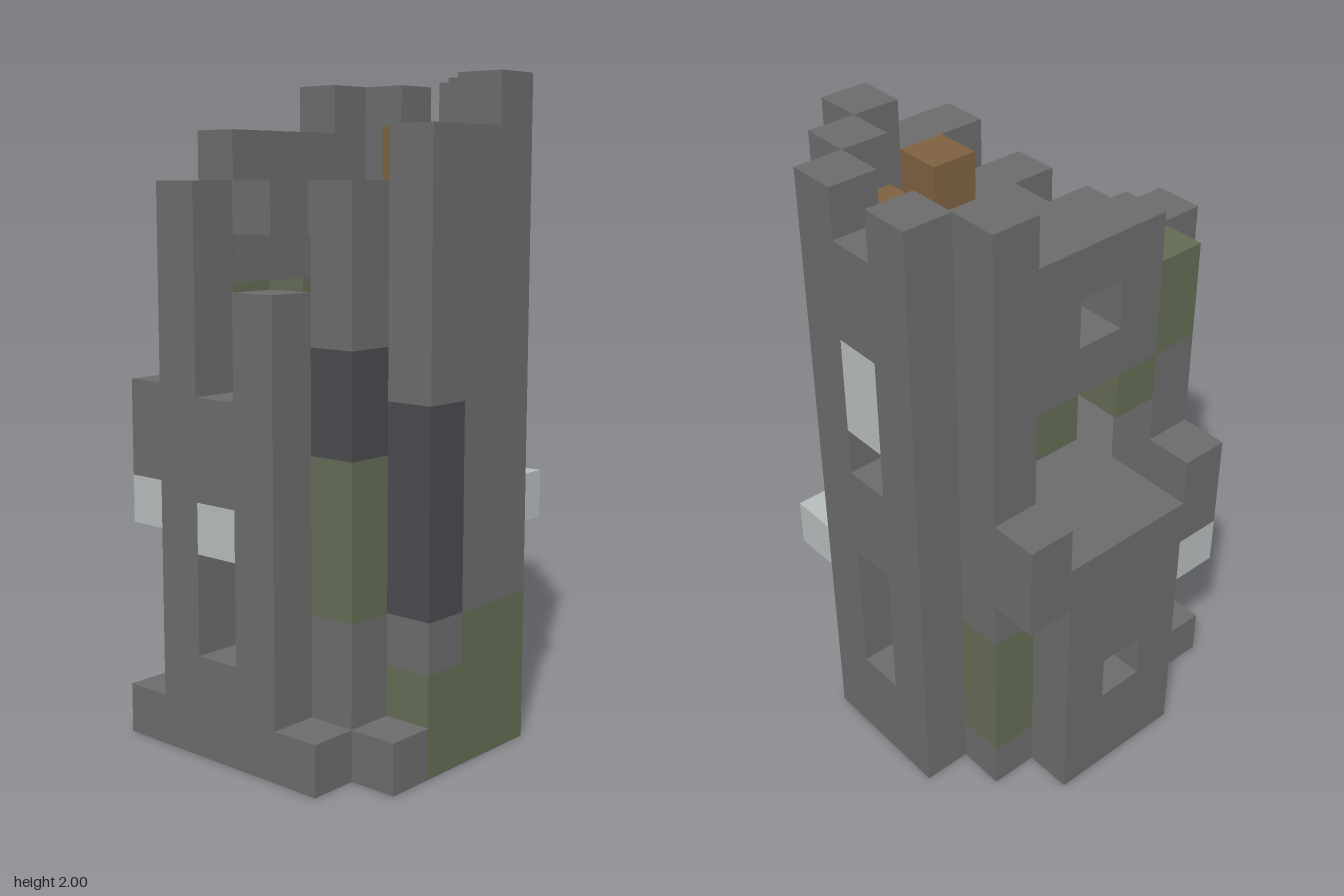
import * as THREE from 'three';

// The tower sits on a 7 x 7 grid of blocks and is 13 blocks high.
const U = 2 / 13;

function material(name, color) {
  const m = new THREE.MeshStandardMaterial({ color });
  m.name = name;
  return m;
}

export function createModel() {
  const tower = new THREE.Group();
  tower.name = 'ruinedTower';

  const stone = material('stone', 0x6b6b6b);
  const moss = material('moss', 0x636b54);
  const wood = material('wood', 0x7d6040);
  const pale = material('paleStone', 0xb6bbbc);
  const dark = material('darkStone', 0x4a494f);

  // Box between grid lines: x, y and z are [from, to] in blocks
  function box(parent, mat, x, y, z, name) {
    const g = new THREE.BoxGeometry((x[1] - x[0]) * U, (y[1] - y[0]) * U, (z[1] - z[0]) * U);
    const mesh = new THREE.Mesh(g, mat);
    mesh.position.set(((x[0] + x[1]) / 2 - 3.5) * U, ((y[0] + y[1]) / 2) * U, ((z[0] + z[1]) / 2 - 3.5) * U);
    mesh.name = name;
    parent.add(mesh);
  }

  // Column in cell (i, k), stacked from [bottom, top, material] runs
  function column(parent, i, k, runs, name) {
    for (const [a, b, mat] of runs) box(parent, mat, [i, i + 1], [a, b], [k, k + 1], name);
  }

  function part(name) {
    const g = new THREE.Group();
    g.name = name;
    tower.add(g);
    return g;
  }

  // Floors, cut to leave room for the corner columns
  const floors = part('floors');
  for (const [y, name] of [[0, 'groundFloor'], [5, 'hallFloor']]) {
    box(floors, stone, [2, 5], [y, y + 1], [1, 2], name);
    box(floors, stone, [1, 6], [y, y + 1], [2, 5], name);
    box(floors, stone, [2, 5], [y, y + 1], [5, 6], name);
  }
  box(floors, stone, [1, 6], [10, 11], [2, 4], 'roofFloor');
  box(floors, stone, [2, 6], [10, 11], [4, 5], 'roofFloor'); // broken at one cell
  box(floors, stone, [2, 5], [10, 11], [5, 6], 'roofFloor');

  // Front wall
  const front = part('frontWall');
  column(front, 2, 6, [[0, 2, moss], [2, 3, stone], [3, 7, dark], [7, 12, stone]], 'frontWallRight');
  column(front, 3, 6, [[0, 3, moss], [3, 12, stone]], 'frontWallMiddle');
  column(front, 4, 6, [[0, 3, moss], [3, 13, stone]], 'frontWallLeft');

  // Corner columns
  const corners = part('cornerColumns');
  column(corners, 1, 5, [[0, 3, stone], [3, 6, moss], [6, 8, dark], [8, 11, stone]], 'frontRightCorner');
  column(corners, 5, 5, [[0, 1, moss], [1, 3, stone], [3, 6, moss], [6, 13, stone]], 'frontLeftCorner');
  column(corners, 1, 1, [[0, 1, moss], [1, 9, stone], [9, 11, moss]], 'backRightCorner');
  column(corners, 5, 1, [[0, 1, stone], [1, 4, moss], [4, 13, stone]], 'backLeftCorner');

  // Left wall with two slots, the upper one partly filled
  const left = part('leftWall');
  column(left, 6, 2, [[0, 13, stone]], 'leftWallBack');
  column(left, 6, 3, [[0, 2, stone], [5, 7, stone], [8, 10, pale], [10, 12, stone]], 'leftWallSlots');
  column(left, 6, 4, [[0, 13, stone]], 'leftWallFront');
  column(left, 6, 5, [[4, 5, pale]], 'leftLantern');

  // Right wall, broken open at the top
  const right = part('rightWall');
  column(right, 0, 2, [[0, 11, stone]], 'rightWallBack');
  column(right, 0, 3, [[0, 2, stone], [4, 5, pale], [5, 7, stone]], 'rightWallSlot');
  column(right, 0, 4, [[0, 9, stone]], 'rightWallFront');

  // Loose stones at the foot
  const rubble = part('footStones');
  for (const [i, k] of [[0, 1], [0, 5], [1, 6]]) column(rubble, i, k, [[0, 1, stone]], 'footStone');

  // Lower back wall with a window, and the balcony ends above it
  const back = part('lowerBackWall');
  for (const i of [2, 4]) column(back, i, 0, [[0, 6, stone]], 'lowerBackWallSide');
  column(back, 3, 0, [[0, 2, stone], [3, 6, stone]], 'lowerBackWallWindow');
  column(back, 5, 0, [[5, 7, stone]], 'balconyEndLeft');
  column(back, 1, 0, [[4, 5, pale], [5, 7, stone]], 'balconyEndRight');

  // Upper back wall, set in behind the balcony, over an arched opening
  const upper = part('upperBackWall');
  for (const i of [2, 4]) column(upper, i, 1, [[8, 9, moss], [9, 12, stone]], 'upperBackWallSide');
  column(upper, 3, 1, [[9, 10, stone], [11, 12, stone]], 'upperBackWallWindow');

  // Crates on the roof and in the hall
  const crates = part('crates');
  column(crates, 5, 4, [[6, 8, wood], [11, 12, wood]], 'crate');
  column(crates, 3, 5, [[11, 12, wood]], 'crate');
  column(crates, 5, 3, [[6, 7, wood]], 'crate');

  return tower;
}
